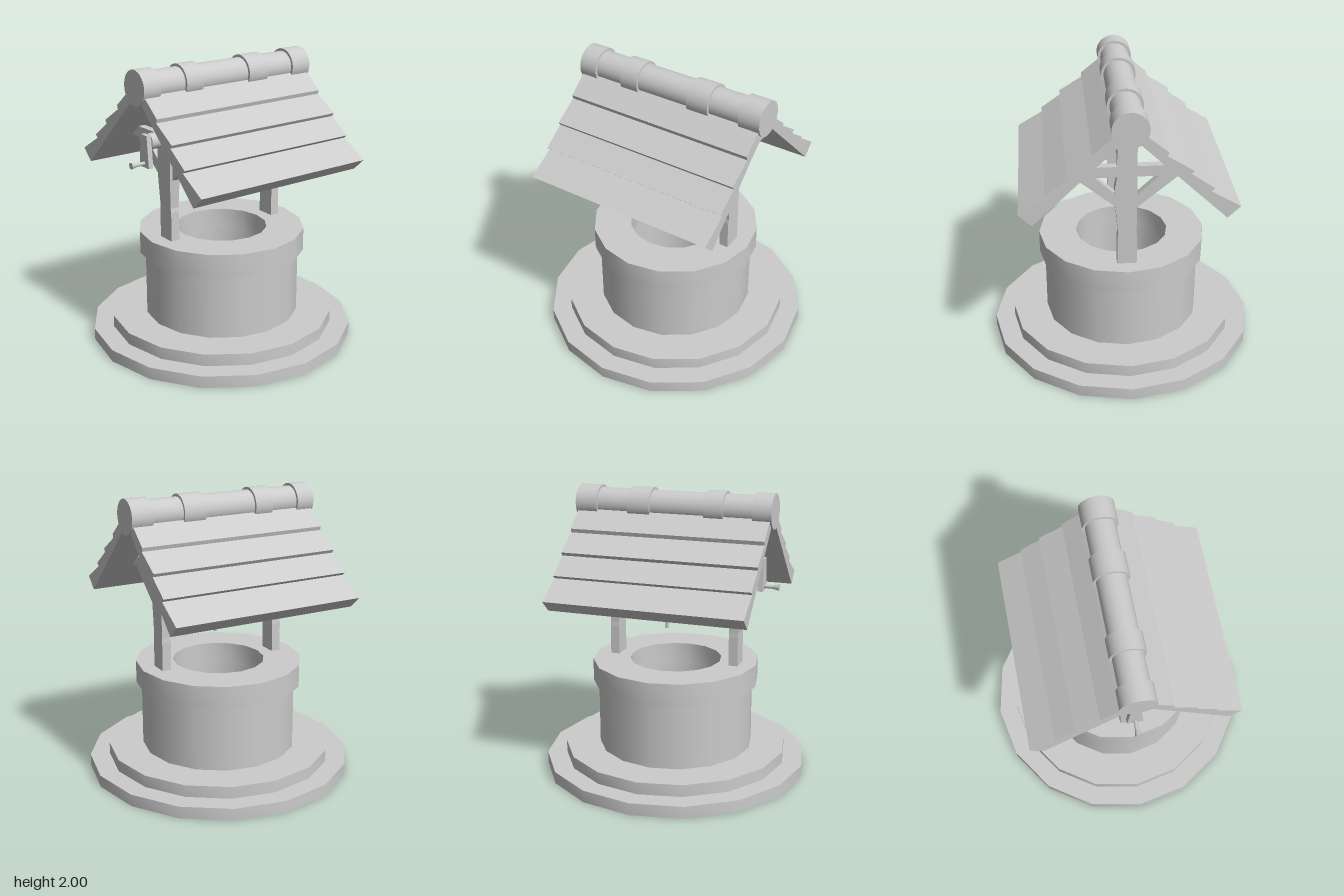
import * as THREE from 'three';
import { toCreasedNormals } from 'three/addons/utils/BufferGeometryUtils.js';

const grey = new THREE.MeshStandardMaterial({ color: 0xcccccc });
const greyDouble = new THREE.MeshStandardMaterial({ color: 0xcccccc, side: THREE.DoubleSide });

function add(parent, name, geometry, material = grey) {
  const mesh = new THREE.Mesh(geometry, material);
  mesh.name = name;
  parent.add(mesh);
}

// 16-sided stone ring turned from a closed section of [radius, y]
function ring(section) {
  const points = [...section, section[0]].map(([r, y]) => new THREE.Vector2(r, y));
  return toCreasedNormals(new THREE.LatheGeometry(points, 16), 0.6);
}

// Outline in (z, y), given a width along x; side -1 turns it to the back
function slab(points, x0, x1, side = 1) {
  const shape = new THREE.Shape(points.map(([z, y]) => new THREE.Vector2(z, y)));
  const width = x1 - x0;
  return new THREE.ExtrudeGeometry(shape, { depth: width, bevelEnabled: false })
    .translate(0, 0, -width / 2)
    .rotateY(-side * Math.PI / 2)
    .translate((x0 + x1) / 2, 0, 0);
}

// Round bar along x, with radius r0 at the x0 end and r1 at the x1 end
function bar(r0, r1, x0, x1, y, sides = 32) {
  return new THREE.CylinderGeometry(r1, r0, x1 - x0, sides)
    .rotateZ(-Math.PI / 2)
    .translate((x0 + x1) / 2, y, 0);
}

// Rough-hewn post: levels of [y, outer x, front z, back z]
function post(side) {
  const bulge = side > 0 ? 0.473 : 0.487;
  const levels = [
    [0.79, 0.473, 0.067, -0.065], [1.0, 0.473, 0.066, -0.065],
    [1.03, 0.473, 0.06, -0.062], [1.25, bulge, 0.08, -0.065],
    [1.36, bulge, 0.083, -0.065], [1.45, bulge, 0.068, -0.065],
    [1.64, 0.473, 0.065, -0.065], [1.84, 0.473, 0.065, -0.065],
  ];
  const last = levels.length - 1;
  const geometry = new THREE.BoxGeometry(1, 1, 1, 1, last, 1);
  const p = geometry.attributes.position;
  for (let i = 0; i < p.count; i++) {
    const [y, outer, front, back] = levels[Math.round((p.getY(i) + 0.5) * last)];
    const isOuter = p.getX(i) * side > 0;
    p.setXYZ(i, side * (isOuter ? outer : 0.408), y, p.getZ(i) > 0 ? front : back);
  }
  const flat = geometry.toNonIndexed();
  flat.computeVertexNormals();
  return flat;
}

export function createModel() {
  const model = new THREE.Group();
  model.name = 'well';

  // Stone base with a hollowed underside
  add(model, 'lowerStep', ring([[0.58, 0.085], [0.935, 0], [0.935, 0.085]]));
  add(model, 'upperStep', ring([[0.545, 0.17], [0.58, 0.085], [0.795, 0.085], [0.795, 0.17]]));

  // Wall, shaft and rim
  add(model, 'outerWall', new THREE.CylinderGeometry(0.55, 0.55, 0.465, 16, 1, true)
    .translate(0, 0.4025, 0), greyDouble);
  add(model, 'shaft', new THREE.CylinderGeometry(0.35, 0.35, 0.635, 16, 1, true)
    .translate(0, 0.3175, 0), greyDouble);
  add(model, 'rim', ring([[0.325, 0.635], [0.588, 0.635], [0.588, 0.795], [0.325, 0.795]]));

  // Timber frames that carry the roof
  for (const side of [1, -1]) {
    const frame = new THREE.Group();
    frame.name = side > 0 ? 'leftFrame' : 'rightFrame';
    model.add(frame);
    add(frame, 'post', post(side));
    const x0 = side * 0.44 - 0.027, x1 = side * 0.44 + 0.027;
    add(frame, 'crossBeam', slab([[-0.41, 1.45], [0.41, 1.45], [0.335, 1.525], [-0.335, 1.525]], x0, x1));
    for (const face of [1, -1]) {
      add(frame, 'brace', slab([[0.05, 1.21], [0.345, 1.455], [0.215, 1.455], [0.05, 1.3]], x0, x1, face));
    }
  }

  // Stepped plank roof, front and back
  const roof = [
    [0.03, 1.81], [0.625, 1.24], [0.71, 1.321], [0.515, 1.437], [0.537, 1.457],
    [0.385, 1.565], [0.4, 1.588], [0.23, 1.695], [0.238, 1.722], [0.12, 1.819], [0.03, 1.89],
  ];
  for (const face of [1, -1]) {
    add(model, face > 0 ? 'frontRoof' : 'backRoof', slab(roof, -0.685, 0.683, face));
  }

  // Ridge log with collars
  add(model, 'ridgeLog', bar(0.102, 0.102, -0.68, 0.68, 1.88));
  for (const [x0, x1] of [[-0.697, -0.567], [-0.365, -0.23], [0.155, 0.315], [0.54, 0.695]]) {
    add(model, 'ridgeCollar', bar(0.12, 0.12, x0, x1, 1.88));
  }

  // Winding drum, rope and crank
  const drumY = 1.51;
  add(model, 'drum', bar(0.054, 0.054, -0.6, 0.42, drumY, 24));
  for (let i = 0; i < 6; i++) {
    add(model, 'ropeCoil', new THREE.TorusGeometry(0.054, 0.012, 8, 24)
      .rotateY(Math.PI / 2).translate(0.048 - i * 0.028, drumY, 0));
  }
  add(model, 'rope', new THREE.CylinderGeometry(0.013, 0.013, drumY - 1.02, 10)
    .translate(0.048, (drumY + 1.02) / 2, -0.05));
  add(model, 'crankArm', slab(
    [[-0.055, 1.34], [0.055, 1.34], [0.035, 1.56], [-0.035, 1.56]], -0.635, -0.6));
  add(model, 'crankHandle', bar(0.014, 0.012, -0.7, -0.62, 1.367, 12));
  add(model, 'crankKnob', bar(0.023, 0.012, -0.738, -0.685, 1.367, 12));
  return model;
}
